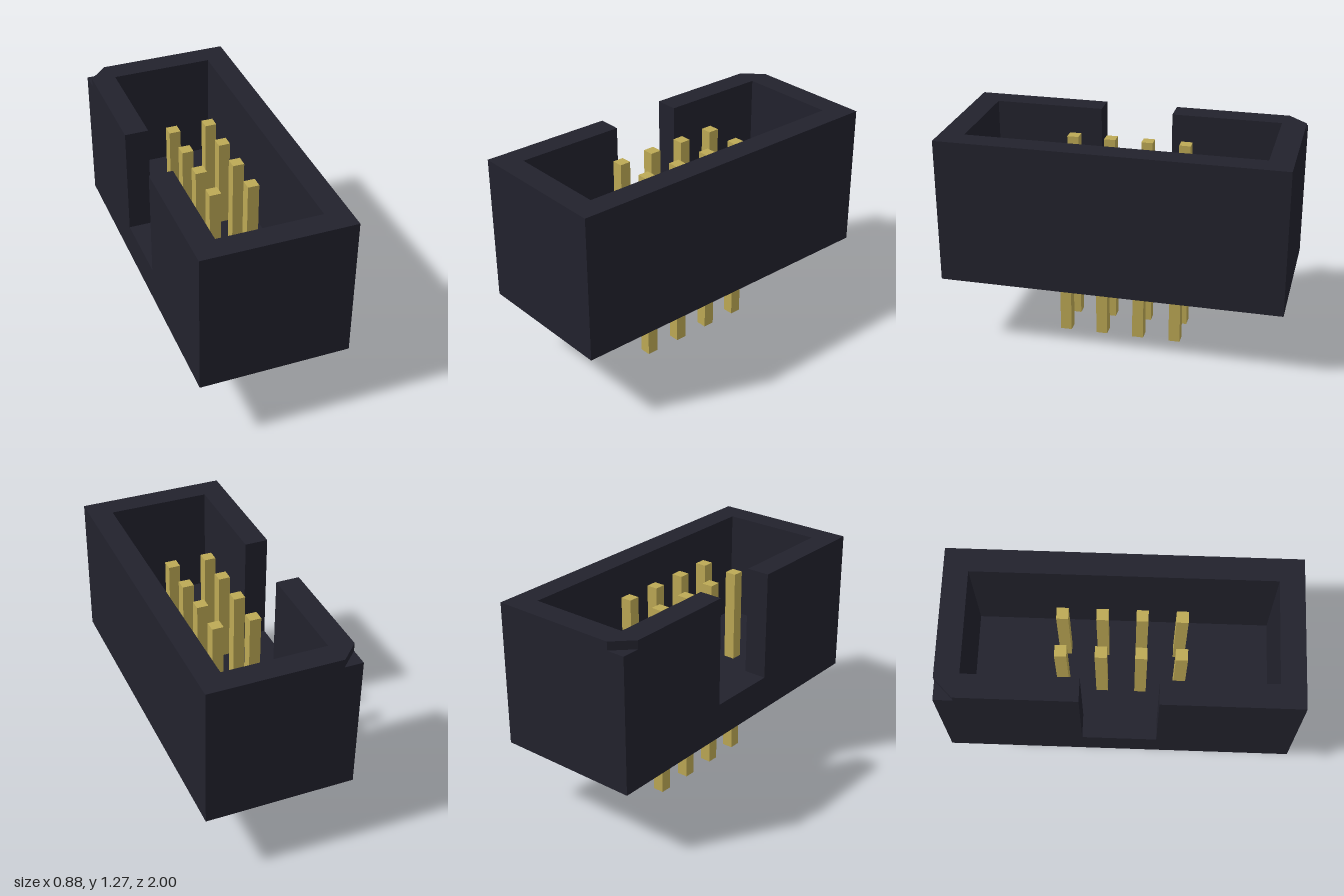
import * as THREE from 'three';

const BOTTOM = 0.41, FLOOR = 0.62, NOTCH = 1.22, TOP = 1.27;

// Extrudes a plan outline of [x, z] points between two heights
function prism(points, y0, y1) {
  const shape = new THREE.Shape(points.map(([x, z]) => new THREE.Vector2(x, -z)));
  const geo = new THREE.ExtrudeGeometry(shape, { depth: y1 - y0, bevelEnabled: false });
  geo.rotateX(-Math.PI / 2);
  geo.translate(0, y0, 0);
  return geo;
}

export function createModel() {
  const group = new THREE.Group();
  const plastic = new THREE.MeshStandardMaterial({ color: 0x22222d });
  plastic.name = 'dark plastic';
  const gold = new THREE.MeshStandardMaterial({ color: 0xbda955 });
  gold.name = 'gold';

  const add = (name, geo, mat, parent = group) => {
    const mesh = new THREE.Mesh(geo, mat);
    mesh.name = name;
    parent.add(mesh);
    return mesh;
  };

  // Solid base of the housing
  const base = add('housingBase', new THREE.BoxGeometry(0.875, FLOOR - BOTTOM, 2), plastic);
  base.position.y = (FLOOR + BOTTOM) / 2;

  // Shroud wall: a ring open at the key slot, with one corner cut off
  const X = 0.4375, Z = 1, ix = 0.3, iz = 0.86, cut = 0.11, slot = 0.215;
  add('shroudWall', prism([
    [-X, slot], [-X, Z], [X, Z], [X, -Z], [-X + cut, -Z], [-X, -Z + cut], [-X, -slot],
    [-ix, -slot], [-ix, -iz], [ix, -iz], [ix, iz], [-ix, iz], [-ix, slot],
  ], FLOOR, TOP), plastic);

  // Lower fill of the cut corner, leaving a shallow first-pin mark
  add('cornerMark', prism([[-X, -Z], [-X, -Z + cut], [-X + cut, -Z]], FLOOR, NOTCH), plastic);

  // Two rows of four square pins, running through the base
  const pins = new THREE.Group();
  pins.name = 'pins';
  group.add(pins);
  const pitch = 0.2225, size = 0.067, height = 1.165;
  const pinGeo = new THREE.BoxGeometry(size, height, size);
  for (let col = 0; col < 2; col++) {
    for (let row = 0; row < 4; row++) {
      const pin = add('pin', pinGeo, gold, pins);
      pin.position.set((col - 0.5) * pitch, height / 2, (row - 1.5) * pitch);
    }
  }
  return group;
}
